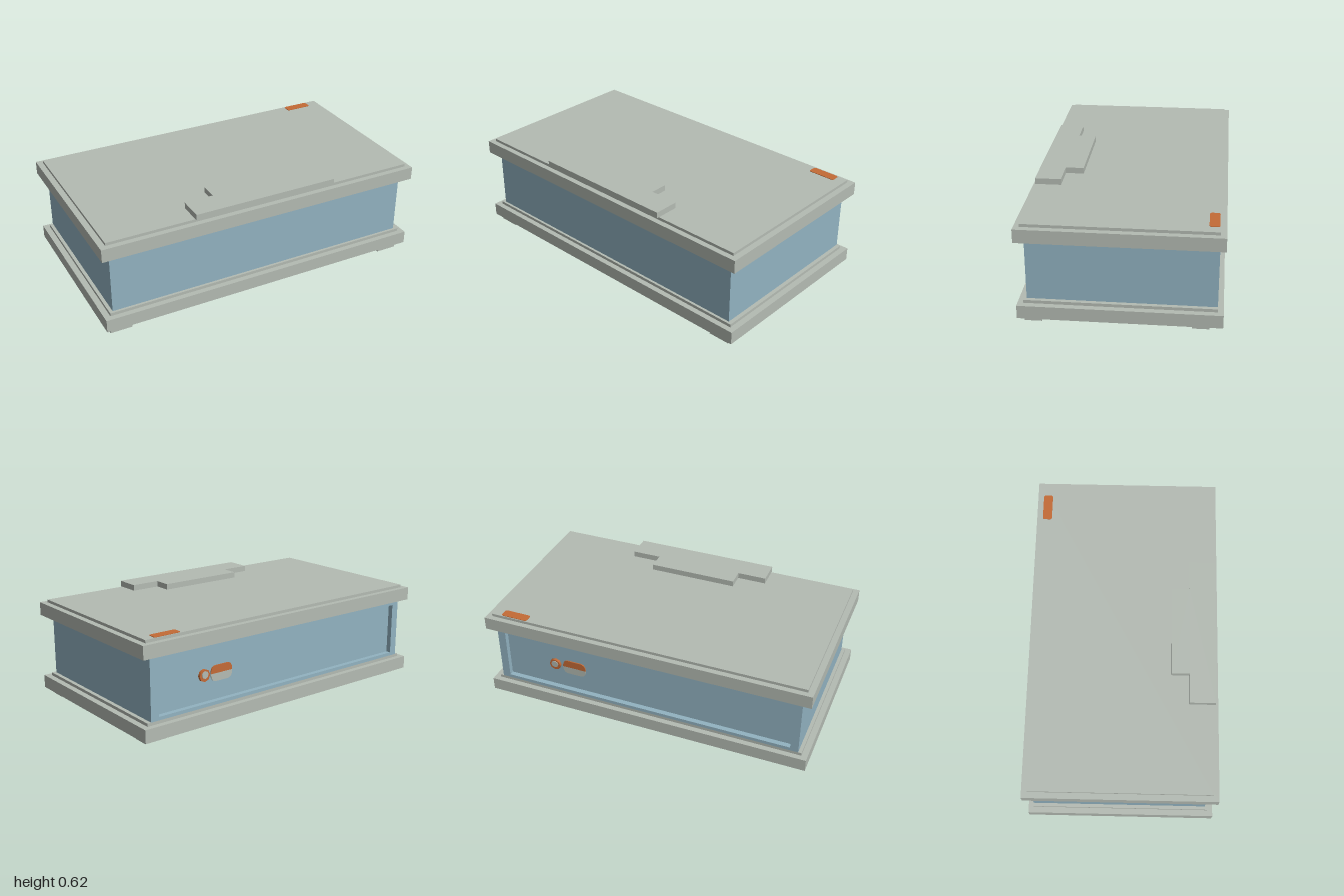
import * as THREE from 'three';

const mat = (name, color) => {
  const m = new THREE.MeshStandardMaterial({ color });
  m.name = name;
  return m;
};

export function createModel() {
  const model = new THREE.Group();
  model.name = 'storageBox';
  const grey = mat('stoneGrey', 0xb4bbb3);
  const blue = mat('dustyBlue', 0x92b3c1);
  const orange = mat('burntOrange', 0xc46b36);

  const add = (name, geometry, material) => {
    const mesh = new THREE.Mesh(geometry, material);
    mesh.name = name;
    model.add(mesh);
    return mesh;
  };
  // Box given by its limits on each axis
  const slab = (name, material, x0, x1, y0, y1, z0, z1) => {
    const g = new THREE.BoxGeometry(x1 - x0, y1 - y0, z1 - z0);
    g.translate((x0 + x1) / 2, (y0 + y1) / 2, (z0 + z1) / 2);
    return add(name, g, material);
  };
  const polygon = (points) => new THREE.Shape(points.map(([x, y]) => new THREE.Vector2(x, y)));
  const extrude = (shape, depth) =>
    new THREE.ExtrudeGeometry(shape, { depth, bevelEnabled: false, curveSegments: 5 });
  const roundedRect = (w, h, r) => {
    const s = new THREE.Shape();
    s.absarc(w / 2 - r, h / 2 - r, r, 0, Math.PI / 2);
    s.absarc(-w / 2 + r, h / 2 - r, r, Math.PI / 2, Math.PI);
    s.absarc(-w / 2 + r, -h / 2 + r, r, Math.PI, Math.PI * 1.5);
    s.absarc(w / 2 - r, -h / 2 + r, r, Math.PI * 1.5, Math.PI * 2);
    return s;
  };

  // Feet
  for (const [x0, x1] of [[-0.97, -0.84], [0.825, 0.955]])
    for (const [z0, z1] of [[0.43, 0.525], [-0.485, -0.39]])
      slab('foot', grey, x0, x1, 0, 0.04, z0, z1);

  // Base and lid, each with a raised inset step
  slab('base', grey, -1, 1, 0.038, 0.115, -0.557, 0.557);
  slab('baseStep', grey, -0.965, 0.965, 0.115, 0.133, -0.525, 0.525);
  slab('lid', grey, -1, 1, 0.495, 0.573, -0.557, 0.557);
  slab('lidStep', grey, -0.965, 0.965, 0.573, 0.59, -0.525, 0.525);

  // Body, with a frame at the back that leaves a shallow recess
  slab('body', blue, -0.945, 0.942, 0.133, 0.495, -0.495, 0.51);
  const frame = polygon([[-0.945, 0.133], [0.942, 0.133], [0.942, 0.495], [-0.945, 0.495]]);
  frame.holes.push(polygon([[-0.897, 0.153], [-0.897, 0.467], [0.893, 0.467], [0.893, 0.153]]));
  add('backFrame', extrude(frame, 0.03), blue).position.z = -0.525;

  // Stepped latch plate on the front edge of the lid
  const latch = polygon([[-0.44, -0.54], [0.445, -0.54], [0.445, -0.39], [0.27, -0.39],
    [0.27, -0.285], [-0.265, -0.285], [-0.265, -0.39], [-0.44, -0.39]]);
  add('latchPlate', extrude(latch, 0.035).rotateX(-Math.PI / 2), grey).position.y = 0.59;

  // Orange label on the lid
  const label = extrude(roundedRect(0.165, 0.056, 0.012), 0.003).rotateX(-Math.PI / 2);
  add('lidLabel', label, orange).position.set(0.822, 0.59, -0.492);

  // Two-tone badge in the recess: orange upper half, grey lower half
  const half = (sign) => {
    const s = new THREE.Shape();
    s.moveTo(-0.074, 0);
    s.lineTo(0.074, 0);
    s.quadraticCurveTo(0.074, sign * 0.046, 0.04, sign * 0.046);
    s.lineTo(-0.04, sign * 0.046);
    s.quadraticCurveTo(-0.074, sign * 0.046, -0.074, 0);
    return extrude(s, 0.006);
  };
  add('badgeTop', half(1), orange).position.set(0.454, 0.305, -0.501);
  add('badgeBottom', half(-1), grey).position.set(0.454, 0.305, -0.501);

  // Small knob beside the badge
  const knob = new THREE.CylinderGeometry(0.036, 0.036, 0.016, 8).rotateX(Math.PI / 2);
  add('knob', knob, orange).position.set(0.577, 0.31, -0.503);
  const cap = new THREE.CylinderGeometry(0.022, 0.022, 0.004, 8).rotateX(Math.PI / 2);
  add('knobCap', cap, grey).position.set(0.577, 0.315, -0.513);

  return model;
}
